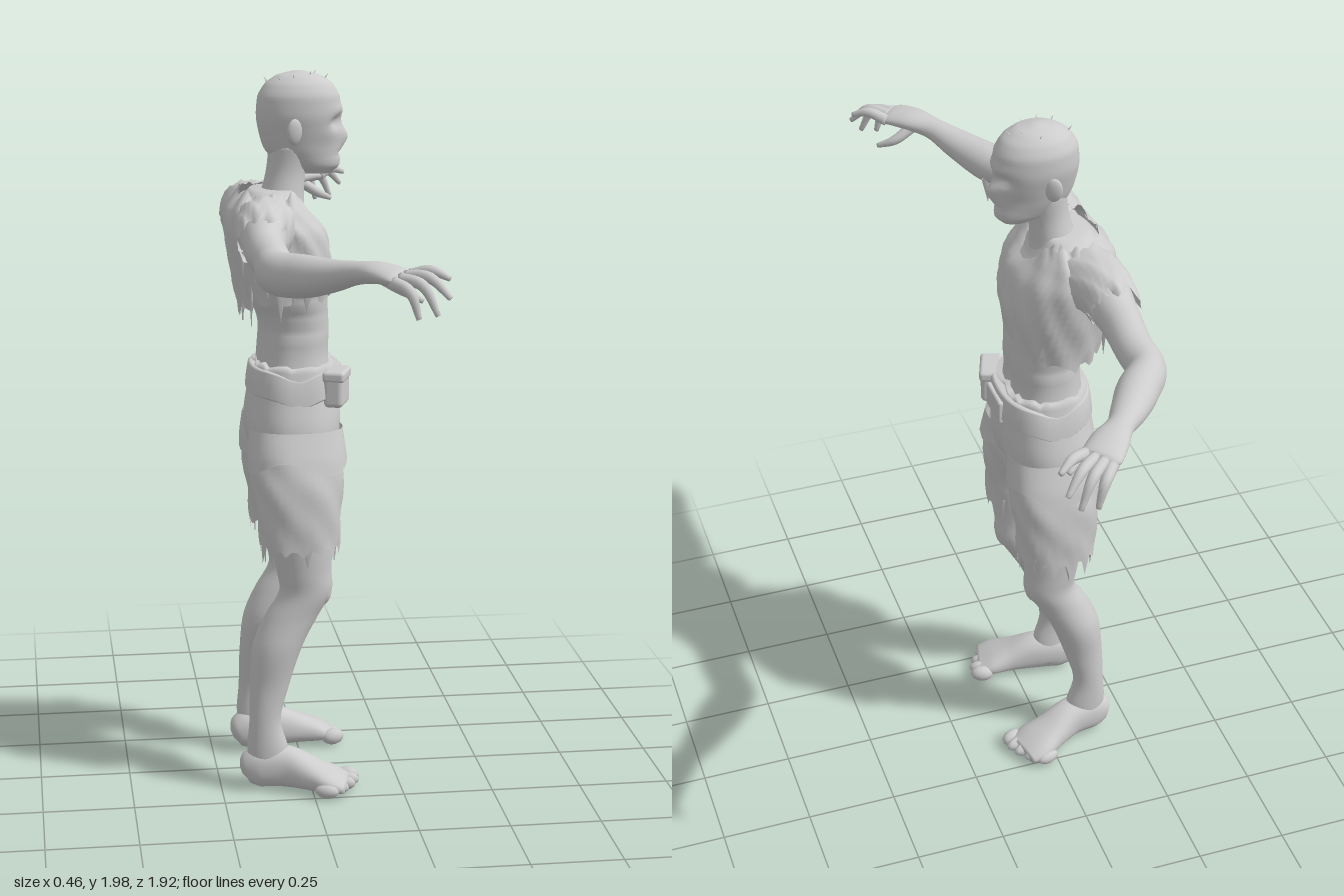
import * as THREE from 'three';
import { RoundedBoxGeometry } from 'three/addons/geometries/RoundedBoxGeometry.js';

const grey = new THREE.MeshStandardMaterial({ color: 0xcccccc, side: THREE.DoubleSide });
grey.name = 'grey';

// repeatable pseudo-random number from an index
const rnd = (i) => { const s = Math.sin(i * 127.1 + 11.7) * 43758.5453; return s - Math.floor(s); };
const bump = (d, w) => Math.exp(-(d * d) / (w * w));

function add(parent, name, geometry, x = 0, y = 0, z = 0) {
  const m = new THREE.Mesh(geometry, grey);
  m.name = name;
  m.position.set(x, y, z);
  parent.add(m);
  return m;
}

// Smooth skin over elliptical sections [x, y, z, halfA, halfB].
// vertical: flat rings, A along x and B along z; otherwise rings follow the path, A along y.
function loft(rows, { vertical = false, segs = 28, steps = 5, cap = true, power = 2, warp } = {}) {
  const centre = new THREE.CatmullRomCurve3(rows.map((r) => new THREE.Vector3(r[0], r[1], r[2])));
  const radius = new THREE.CatmullRomCurve3(rows.map((r) => new THREE.Vector3(r[3], r[4], 0)));
  const n = (rows.length - 1) * steps;
  const pos = [], idx = [];
  const sup = (c) => Math.sign(c) * Math.abs(c) ** (2 / power);
  for (let i = 0; i <= n; i++) {
    const f = i / n, c = centre.getPoint(f), r = radius.getPoint(f);
    const t = vertical ? new THREE.Vector3(0, 1, 0) : centre.getTangent(f);
    const u = vertical ? new THREE.Vector3(1, 0, 0) : new THREE.Vector3(0, 1, 0);
    u.addScaledVector(t, -u.dot(t)).normalize();
    const v = t.clone().cross(u);
    for (let j = 0; j < segs; j++) {
      const a = (j / segs) * Math.PI * 2;
      const p = c.clone().addScaledVector(u, r.x * sup(Math.cos(a))).addScaledVector(v, r.y * sup(Math.sin(a)));
      if (warp) warp(p, j, f, c);
      pos.push(p.x, p.y, p.z);
      if (i < n) {
        const k = i * segs + j, l = i * segs + (j + 1) % segs;
        idx.push(k, l, l + segs, k, l + segs, k + segs);
      }
    }
  }
  if (cap) {
    const s = centre.getPoint(0), e = centre.getPoint(1), q = pos.length / 3;
    pos.push(s.x, s.y, s.z, e.x, e.y, e.z);
    for (let j = 0; j < segs; j++) {
      const k = (j + 1) % segs;
      idx.push(q, k, j, q + 1, n * segs + j, n * segs + k);
    }
  }
  const g = new THREE.BufferGeometry();
  g.setAttribute('position', new THREE.Float32BufferAttribute(pos, 3));
  g.setIndex(idx);
  g.computeVertexNormals();
  return g;
}

// Cloth folds: swell a ring point about its centre
function crease(p, c, amount) {
  p.x = c.x + (p.x - c.x) * (1 + amount);
  p.z = c.z + (p.z - c.z) * (1 + amount);
}

// Torn strip hanging from a point
function strip(parent, x, y, z, length, width, along = 'x') {
  const g = new THREE.ConeGeometry(width, length, 5);
  g.rotateX(Math.PI);
  g.scale(along === 'x' ? 1 : 0.3, 1, along === 'x' ? 0.3 : 1);
  return add(parent, 'tornStrip', g, x, y - length / 2, z);
}

function buildHead(root) {
  const head = new THREE.Group();
  head.name = 'head';
  root.add(head);
  add(head, 'neck', loft([[-0.075, 1.58, 0, 0.08, 0.09], [-0.06, 1.65, 0, 0.06, 0.064],
    [-0.048, 1.72, 0, 0.054, 0.054], [-0.035, 1.79, 0, 0.06, 0.06]], { vertical: true }));
  add(head, 'skull', loft([[0.035, 1.708, 0, 0.04, 0.022], [0.02, 1.73, 0, 0.077, 0.044], [-0.002, 1.77, 0, 0.102, 0.06],
    [-0.01, 1.82, 0, 0.112, 0.074], [-0.014, 1.87, 0, 0.115, 0.085], [-0.014, 1.915, 0, 0.111, 0.085],
    [-0.014, 1.95, 0, 0.09, 0.07], [-0.015, 1.972, 0, 0.057, 0.046], [-0.015, 1.983, 0, 0.012, 0.01]], {
    vertical: true, segs: 48,
    warp(p) {
      const front = Math.max(0, p.x / 0.1), side = Math.abs(p.z);
      p.x -= front * 0.022 * bump(p.y - 1.848, 0.018) * bump(side - 0.036, 0.022); // eye sockets
      p.x += front * 0.007 * bump(p.y - 1.878, 0.016) * bump(side - 0.03, 0.04); // brow
      p.x += front * 0.018 * bump(p.y - 1.805, 0.026) * bump(side, 0.016); // nose
      p.x -= front * 0.008 * bump(p.y - 1.762, 0.007) * bump(side, 0.03); // mouth
      p.z *= 1 - 0.14 * Math.min(1, front) * bump(p.y - 1.78, 0.035); // cheeks
    } }));
  for (const s of [1, -1]) {
    const ear = add(head, 'ear', new THREE.SphereGeometry(1, 14, 10), -0.035, 1.828, s * 0.083);
    ear.scale.set(0.023, 0.036, 0.011);
    ear.rotation.set(s * 0.15, s * 0.4, 0);
  }
  for (let i = 0; i < 7; i++) { // sparse tufts of hair
    const a = i * 2.4, r = 0.03 + 0.035 * rnd(i);
    const tuft = add(head, 'hairTuft', new THREE.ConeGeometry(0.006, 0.035, 4),
      -0.015 + Math.cos(a) * r * 1.3, 1.975 - r * r * 5, Math.sin(a) * r);
    tuft.rotation.set(Math.sin(a) * 0.6, 0, -Math.cos(a) * 0.6);
  }
}

function buildTorso(root) {
  add(root, 'torso', loft([[-0.03, 1.12, 0, 0.11, 0.15], [-0.033, 1.22, 0, 0.097, 0.132], [-0.03, 1.3, 0, 0.096, 0.13],
    [-0.045, 1.38, 0, 0.108, 0.15], [-0.062, 1.48, 0, 0.13, 0.172], [-0.078, 1.56, 0, 0.122, 0.182],
    [-0.095, 1.62, 0, 0.095, 0.16], [-0.085, 1.67, 0, 0.06, 0.075]], {
    vertical: true, segs: 48, power: 2.3,
    warp(p) {
      const front = Math.max(0, p.x / 0.07);
      p.x -= front * 0.01 * bump(p.z, 0.014); // midline
      if (p.y < 1.45 && p.y > 1.26) p.z *= 1 + 0.018 * Math.sin(p.y * 130); // ribs
    } }));
  // Torn shirt: ragged hem, longer at the back and on one side, open at the throat
  add(root, 'tornShirt', loft([[-0.055, 1.4, 0, 0.122, 0.162], [-0.064, 1.48, 0, 0.138, 0.182], [-0.08, 1.56, 0, 0.135, 0.193],
    [-0.1, 1.62, 0, 0.11, 0.18], [-0.095, 1.665, 0, 0.08, 0.115]], {
    vertical: true, segs: 56, cap: false, power: 2.3,
    warp(p, j, f, c) {
      const w = (1 - f) ** 4, front = p.x > c.x;
      p.y -= w * (rnd(j) * 0.05 + (front ? 0 : 0.03) - p.z * 0.18);
      p.y += f ** 6 * (rnd(j + 70) - 0.6) * 0.03;
      if (front) p.y -= f ** 4 * 0.08 * bump(p.z, 0.045);
      crease(p, c, 0.025 * Math.sin(j * 1.3 + p.y * 40));
    } }));
  for (let i = 0; i < 5; i++) strip(root, -0.175 + rnd(i) * 0.02, 1.42, -0.13 + i * 0.06, 0.08 + 0.05 * rnd(i + 9), 0.022, 'z');
  // Belt with pouches
  add(root, 'belt', loft([[-0.028, 1.115, 0, 0.128, 0.166], [-0.028, 1.12, 0, 0.133, 0.17],
    [-0.028, 1.185, 0, 0.125, 0.158], [-0.028, 1.19, 0, 0.118, 0.15]], { vertical: true, segs: 40, power: 2.4, steps: 2,
    warp(p) { p.y -= 0.025 * bump(p.x + 0.03, 0.05); } }));
  add(root, 'buckle', new RoundedBoxGeometry(0.016, 0.07, 0.11, 2, 0.007), 0.102, 1.14, 0);
  const pouch = add(root, 'pouch', new RoundedBoxGeometry(0.055, 0.1, 0.1, 3, 0.014), 0.075, 1.14, 0.115);
  pouch.rotation.y = -0.35;
  const flap = add(root, 'pouchFlap', new RoundedBoxGeometry(0.061, 0.03, 0.106, 2, 0.01), 0.076, 1.175, 0.115);
  flap.rotation.y = -0.35;
}

function buildShorts(root) {
  add(root, 'shortsSeat', loft([[-0.035, 0.925, 0, 0.06, 0.1], [-0.035, 0.955, 0, 0.12, 0.182], [-0.035, 1.02, 0, 0.132, 0.19],
    [-0.032, 1.12, 0, 0.124, 0.164], [-0.03, 1.2, 0, 0.113, 0.146]], {
    vertical: true, segs: 48, power: 2.3,
    warp(p, j, f, c) {
      p.y += f ** 8 * 0.015 * (rnd(j) - 0.5);
      p.x -= Math.sign(p.x - c.x) * 0.012 * bump(p.z, 0.03); // centre seam
    } }));
  for (const s of [1, -1]) {
    add(root, 'shortsLeg', loft([[-0.028, 0.715, s * 0.14, 0.108, 0.089], [-0.03, 0.8, s * 0.135, 0.115, 0.095],
      [-0.033, 0.88, s * 0.118, 0.126, 0.105], [-0.035, 0.95, s * 0.104, 0.13, 0.1], [-0.035, 1.02, s * 0.097, 0.124, 0.09]], {
      vertical: true, segs: 44, cap: false, power: 2.2,
      warp(p, j, f, c) {
        p.y -= (1 - f) ** 6 * (j % 3 ? 0.01 : 0.06) * (0.3 + rnd(j + s * 31));
        crease(p, c, 0.022 * Math.sin(j * 0.9 + p.y * 45));
      } }));
    // Loose folded layer of cloth around the outer thigh
    add(root, 'thighFold', loft([[-0.033, 0.935, s * 0.118, 0.136, 0.113], [-0.034, 0.965, s * 0.114, 0.134, 0.108],
      [-0.034, 1.03, s * 0.1, 0.127, 0.095]], { vertical: true, segs: 40, cap: false, power: 2.3,
      warp(p, j, f) {
        p.y += (1 - f) * 0.02 * Math.sin(j * 0.5);
        p.z = s * Math.max(0.012, s * p.z);
      } }));
    for (let i = 0; i < 6; i++) {
      const a = i * 1.05 + 0.4;
      strip(root, -0.028 + 0.1 * Math.cos(a), 0.735, s * 0.138 + 0.083 * Math.sin(a), 0.06 + 0.04 * rnd(i + s * 5), 0.02,
        Math.abs(Math.cos(a)) > 0.7 ? 'z' : 'x');
    }
  }
}

function buildLeg(root, s) {
  const leg = new THREE.Group();
  leg.name = s > 0 ? 'rightLeg' : 'leftLeg';
  root.add(leg);
  add(leg, 'shin', loft([[-0.115, 0.04, 0.145, 0.055, 0.04], [-0.12, 0.11, 0.15, 0.058, 0.039], [-0.128, 0.2, 0.152, 0.044, 0.037],
    [-0.115, 0.3, 0.143, 0.055, 0.047], [-0.088, 0.42, 0.133, 0.07, 0.067], [-0.05, 0.5, 0.13, 0.074, 0.063],
    [-0.012, 0.57, 0.132, 0.073, 0.061], [-0.016, 0.63, 0.134, 0.076, 0.064], [-0.022, 0.72, 0.133, 0.085, 0.072],
    [-0.03, 0.86, 0.122, 0.095, 0.08]].map((r) => [r[0], r[1], s * r[2], r[3], r[4]]), { vertical: true }));
  add(leg, 'kneecap', new THREE.SphereGeometry(1, 16, 12), 0.03, 0.575, s * 0.133).scale.set(0.031, 0.05, 0.042);
  add(leg, 'foot', loft([[-0.193, 0.05, 0.138, 0.012, 0.012], [-0.18, 0.055, 0.139, 0.042, 0.036], [-0.14, 0.064, 0.145, 0.06, 0.046],
    [-0.07, 0.064, 0.158, 0.058, 0.047], [0, 0.047, 0.182, 0.043, 0.057], [0.055, 0.034, 0.2, 0.03, 0.07],
    [0.095, 0.024, 0.21, 0.018, 0.062]].map((r) => [r[0], r[1], s * r[2], r[3], r[4]]), { power: 2.3,
    warp(p) { p.y = Math.max(p.y, 0.006); } }));
  for (let i = 0; i < 5; i++) {
    const toe = add(leg, 'toe', new THREE.SphereGeometry(1, 12, 8), 0.104 - i * i * 0.0045, 0.024, s * (0.148 + i * 0.028));
    toe.scale.set(0.034, i ? 0.02 : 0.024, i ? 0.017 : 0.022);
    toe.rotation.y = -s * 0.3;
  }
}

function buildArm(root, s) {
  const arm = new THREE.Group();
  arm.name = s > 0 ? 'rightArm' : 'leftArm';
  root.add(arm);
  const side = (rows) => rows.map((r) => [r[0], r[1], s * r[2], r[3], r[4]]);
  add(arm, 'armAndPalm', loft(side([[-0.09, 1.56, 0.08, 0.07, 0.08], [-0.125, 1.575, 0.19, 0.077, 0.07], [-0.138, 1.55, 0.3, 0.06, 0.054],
    [-0.132, 1.54, 0.42, 0.051, 0.05], [-0.132, 1.53, 0.51, 0.056, 0.05], [-0.078, 1.535, 0.59, 0.055, 0.054],
    [-0.015, 1.553, 0.69, 0.041, 0.045], [0.035, 1.573, 0.765, 0.029, 0.035], [0.08, 1.582, 0.82, 0.026, 0.048],
    [0.12, 1.578, 0.87, 0.02, 0.052], [0.13, 1.574, 0.88, 0.01, 0.038]])));
  // Curled, spread fingers: root, knuckle and tip
  const fingers = [[[0.15, 1.578, 0.845], [0.195, 1.595, 0.878], [0.235, 1.58, 0.905]],
    [[0.135, 1.58, 0.868], [0.185, 1.585, 0.915], [0.23, 1.54, 0.945]],
    [[0.118, 1.578, 0.885], [0.165, 1.57, 0.932], [0.2, 1.5, 0.952]],
    [[0.1, 1.572, 0.895], [0.135, 1.555, 0.937], [0.155, 1.492, 0.948]],
    [[0.085, 1.57, 0.8], [0.14, 1.535, 0.8], [0.185, 1.512, 0.825]]];
  for (const [a, b, c] of fingers) {
    add(arm, 'finger', loft(side([[...a, 0.017, 0.016], [...b, 0.014, 0.014], [...c, 0.007, 0.007]]), { segs: 10, steps: 6 }));
  }
  // Ragged sleeve
  add(arm, 'sleeve', loft(side([[-0.115, 1.58, 0.12, 0.083, 0.088], [-0.132, 1.578, 0.2, 0.083, 0.077],
    [-0.14, 1.558, 0.265, 0.072, 0.066]]), { cap: false, segs: 36,
    warp(p, j, f) {
      p.z += s * f ** 4 * (rnd(j + s * 17) - 0.5) * 0.06;
      p.y += 0.006 * Math.sin(j * 1.7 + f * 8);
    } }));
  for (let i = 0; i < 2; i++) strip(arm, -0.185 + i * 0.03, 1.53, s * (0.18 + i * 0.03), 0.07 + 0.03 * rnd(i), 0.02, 'z');
}

export function createModel() {
  const root = new THREE.Group();
  root.name = 'raggedFigure';
  buildHead(root);
  buildTorso(root);
  buildShorts(root);
  for (const s of [1, -1]) {
    buildLeg(root, s);
    buildArm(root, s);
  }
  // Tatters hanging from one forearm
  for (let i = 0; i < 4; i++) strip(root, -0.15 + i * 0.03, 1.51, 0.46 + i * 0.03, 0.05 + 0.06 * rnd(i + 3), 0.02);
  return root;
}
